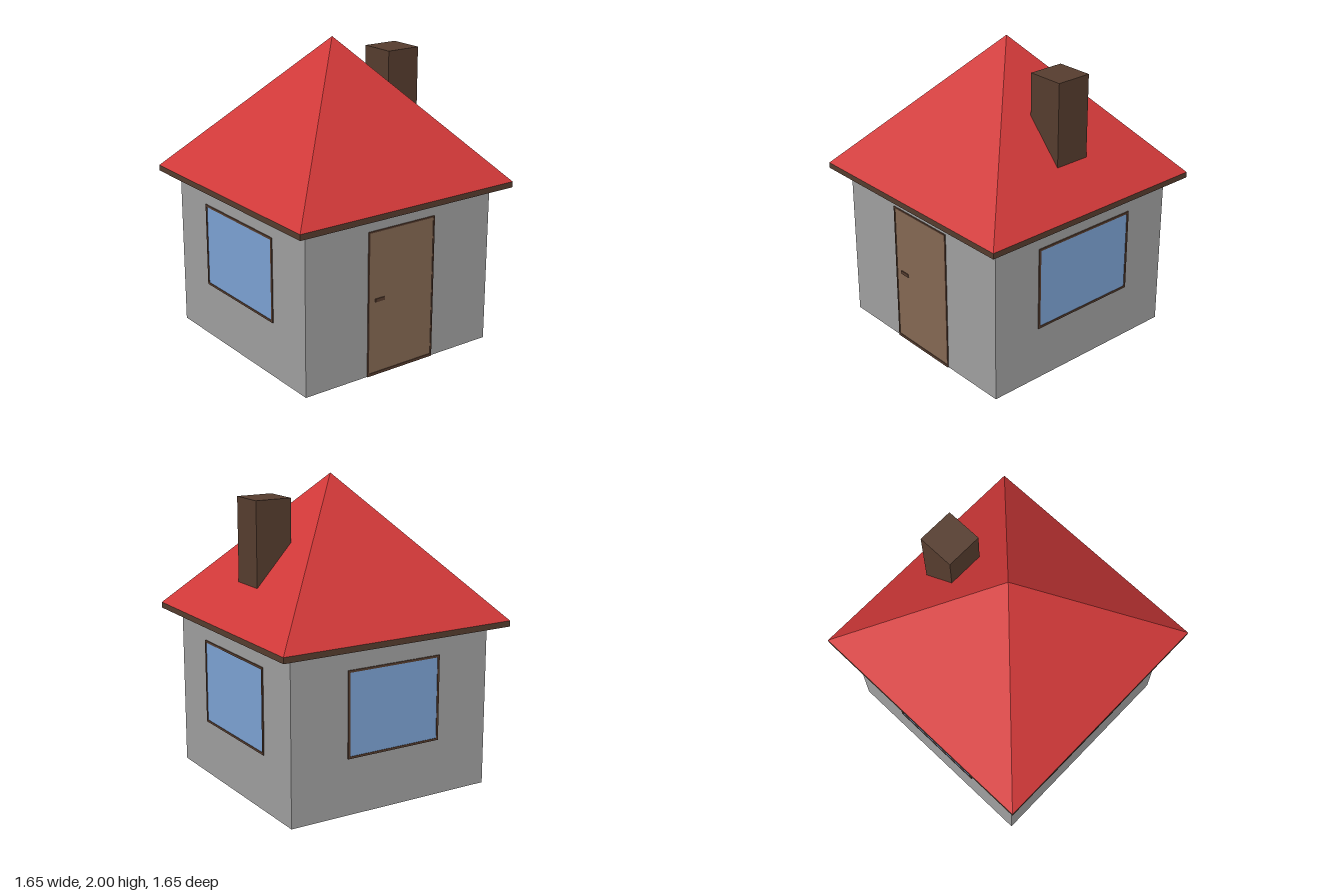
import * as THREE from 'three';

const mat = (name, color, side = THREE.FrontSide) => {
  const m = new THREE.MeshStandardMaterial({ color, side });
  m.name = name;
  return m;
};

// Rectangle from corner to corner, as a Shape or a hole Path
function rect(x0, y0, x1, y1, Type = THREE.Shape) {
  const r = new Type();
  r.moveTo(x0, y0);
  r.lineTo(x1, y0);
  r.lineTo(x1, y1);
  r.lineTo(x0, y1);
  r.closePath();
  return r;
}

export function createModel() {
  const wallMat = mat('wall grey', 0x9e9e9e, THREE.DoubleSide);
  const roofMat = mat('roof red', 0xd03838);
  const trimMat = mat('dark brown trim', 0x553c2e);
  const doorMat = mat('door brown', 0x836752, THREE.DoubleSide);
  const glassMat = mat('window blue', 0x7ba1d2, THREE.DoubleSide);

  const W = 0.72, EAVE = 1.06, R = 0.823, SLAB = 0.038, TOP = 2;
  const house = new THREE.Group();
  house.name = 'house';

  const add = (parent, name, geometry, material) => {
    const mesh = new THREE.Mesh(geometry, material);
    mesh.name = name;
    parent.add(mesh);
    return mesh;
  };

  // One thin wall with a framed opening, facing local +z
  function wallSide(name, angle, [x0, y0, x1, y1], border, sill, fillName, fillMat) {
    const side = new THREE.Group();
    side.name = name;
    side.rotation.y = angle;
    house.add(side);

    const wall = rect(-W, 0, W, EAVE);
    wall.holes.push(rect(x0 + 0.004, y0 + 0.004, x1 - 0.004, y1 - 0.004, THREE.Path));
    add(side, 'wall', new THREE.ShapeGeometry(wall), wallMat).position.z = W;

    const inner = [x0 + border, y0 + sill, x1 - border, y1 - border];
    const frame = rect(x0, y0, x1, y1);
    frame.holes.push(rect(...inner, THREE.Path));
    const frameGeo = new THREE.ExtrudeGeometry(frame, { depth: 0.01, bevelEnabled: false });
    add(side, fillName + 'Frame', frameGeo, trimMat).position.z = W - 0.003;

    add(side, fillName, new THREE.ShapeGeometry(rect(...inner)), fillMat).position.z = W + 0.003;
    return side;
  }

  // Front wall with door and handle, then the three window walls
  const front = wallSide('frontSide', 0, [-0.257, 0, 0.26, 0.958], 0.01, 0.018, 'door', doorMat);
  add(front, 'doorHandle', new THREE.BoxGeometry(0.072, 0.022, 0.008), trimMat)
    .position.set(-0.166, 0.503, W + 0.005);

  const windows = [
    ['leftSide', Math.PI / 2, -0.375, 0.395],
    ['backSide', Math.PI, -0.325, 0.348],
    ['rightSide', -Math.PI / 2, -0.394, 0.377],
  ];
  for (const [name, angle, x0, x1] of windows)
    wallSide(name, angle, [x0, 0.365, x1, 0.921], 0.014, 0.014, 'window', glassMat);

  // Eaves: square ring around the wall tops
  const ring = rect(-R, -R, R, R);
  ring.holes.push(rect(-W, -W, W, W, THREE.Path));
  const eaves = new THREE.ExtrudeGeometry(ring, { depth: SLAB, bevelEnabled: false });
  eaves.rotateX(-Math.PI / 2);
  add(house, 'eaves', eaves, trimMat).position.y = EAVE;

  // Pyramid roof
  const height = TOP - EAVE - SLAB;
  const roof = new THREE.ConeGeometry(R * Math.SQRT2, height, 4, 1, true).toNonIndexed();
  roof.rotateY(Math.PI / 4);
  roof.computeVertexNormals();
  add(house, 'roof', roof, roofMat).position.y = TOP - height / 2;

  // Underside of the roof, seen from inside the open-bottomed walls
  const ceiling = new THREE.PlaneGeometry(2 * W, 2 * W);
  ceiling.rotateX(Math.PI / 2);
  add(house, 'roofUnderside', ceiling, roofMat).position.y = EAVE + 0.002;

  // Chimney
  add(house, 'chimney', new THREE.BoxGeometry(0.243, 0.6, 0.243), trimMat)
    .position.set(0.482, 1.58, 0);

  return house;
}
